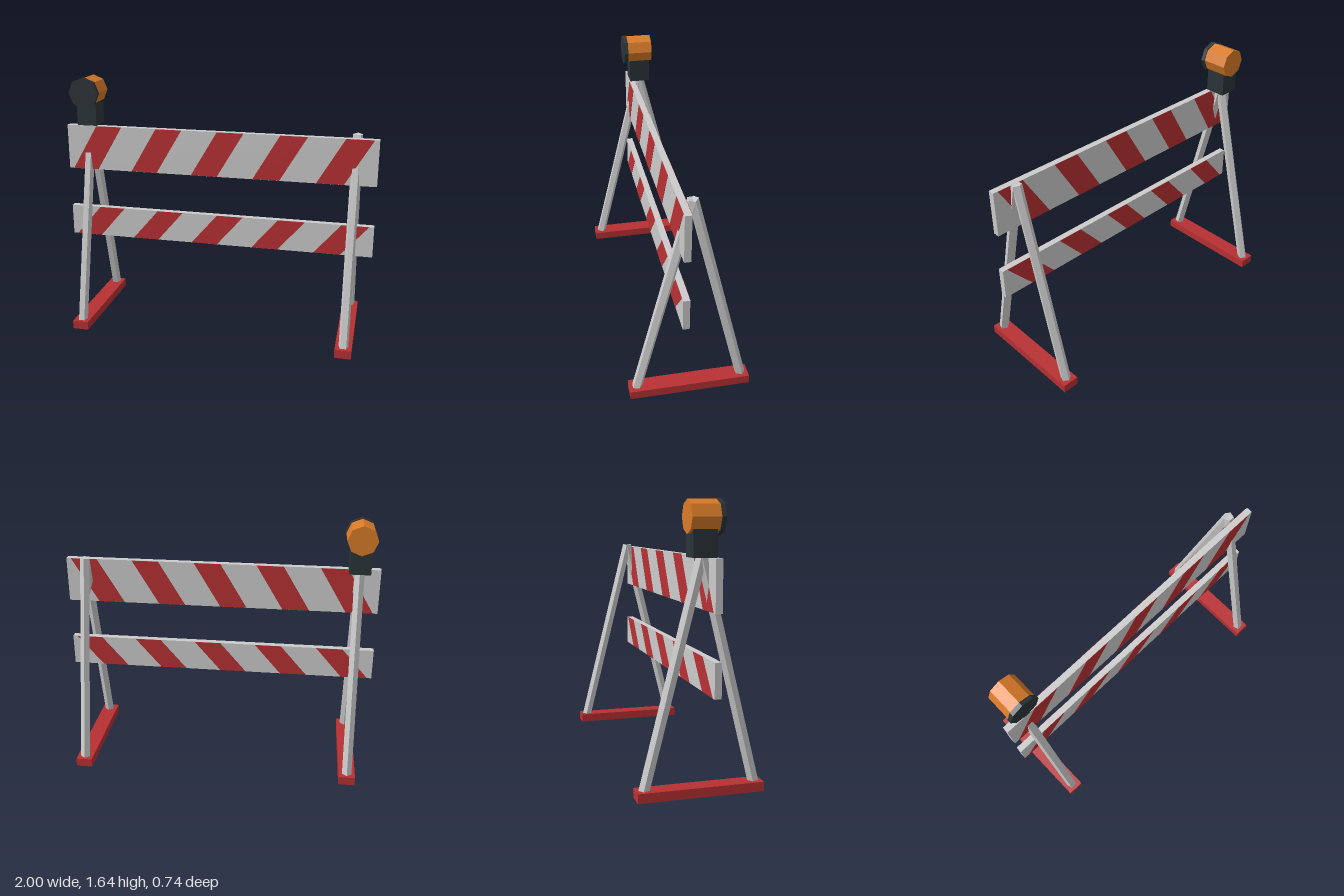
import * as THREE from 'three';

const mat = (color) => new THREE.MeshStandardMaterial({ color, flatShading: true });

export function createModel() {
  const root = new THREE.Group();
  root.name = 'roadBarrier';
  const grey = mat(0xcccccc), red = mat(0xb83033), dark = mat(0x2b3437), amber = mat(0xd87a28);

  const add = (name, geometry, material, x, y, z, parent = root) => {
    const mesh = new THREE.Mesh(geometry, material);
    mesh.name = name;
    mesh.position.set(x, y, z);
    parent.add(mesh);
    return mesh;
  };

  // Planks with slanted stripes standing slightly proud of both faces
  const plankZ = 0.055, thick = 0.04, proud = 0.002;
  const makePlank = (name, y0, y1) => {
    const plank = new THREE.Group();
    plank.name = name;
    root.add(plank);
    add('board', new THREE.BoxGeometry(2, y1 - y0, thick), grey, 0, (y0 + y1) / 2, plankZ, plank);
    const h = y1 - y0 - 0.002;
    const shape = new THREE.Shape([[0, 0], [0.17, 0], [0.34, h], [0.17, h]].map(([x, y]) => new THREE.Vector2(x, y)));
    const stripe = new THREE.ExtrudeGeometry(shape, { depth: thick + 2 * proud, bevelEnabled: false });
    for (let i = 0; i < 5; i++) {
      add('stripe', stripe, red, -0.97 + 0.4 * i, y0 + 0.001, plankZ - thick / 2 - proud, plank);
    }
  };
  makePlank('upperPlank', 1.04, 1.33);
  makePlank('lowerPlank', 0.58, 0.78);

  // A-frame stands: a foot bar and two leaning five-sided legs on each side
  const bottomZ = 0.333, topZ = 0.003, bottomY = 0.008, topY = 1.342;
  for (const side of [-1, 1]) {
    const stand = new THREE.Group();
    stand.name = side > 0 ? 'leftStand' : 'rightStand';
    stand.position.x = 0.865 * side;
    root.add(stand);
    add('footBar', new THREE.BoxGeometry(0.104, 0.055, 0.735), red, 0, 0.0375, 0, stand);
    for (const dir of [1, -1]) {
      const dz = topZ - bottomZ * dir, dy = topY - bottomY;
      const geometry = new THREE.CylinderGeometry(0.032, 0.032, Math.hypot(dz, dy), 5).rotateY(Math.PI);
      const leg = add(dir > 0 ? 'frontLeg' : 'backLeg', geometry, grey,
        0, (topY + bottomY) / 2, (topZ + bottomZ * dir) / 2, stand);
      leg.rotation.x = Math.atan2(dz, dy);
    }
  }

  // Warning lamp: battery box, octagonal lens and dark front cap
  const lamp = new THREE.Group();
  lamp.name = 'warningLamp';
  lamp.position.x = -0.865;
  root.add(lamp);
  const octagon = (r, depth) => new THREE.CylinderGeometry(r, r, depth, 8).rotateX(Math.PI / 2);
  add('batteryBox', new THREE.BoxGeometry(0.13, 0.15, 0.135), dark, 0, 1.405, 0.002, lamp);
  add('lens', octagon(0.093, 0.165), amber, 0, 1.546, 0.0015, lamp);
  add('frontCap', octagon(0.099, 0.026), dark, 0, 1.545, 0.095, lamp);

  return root;
}
